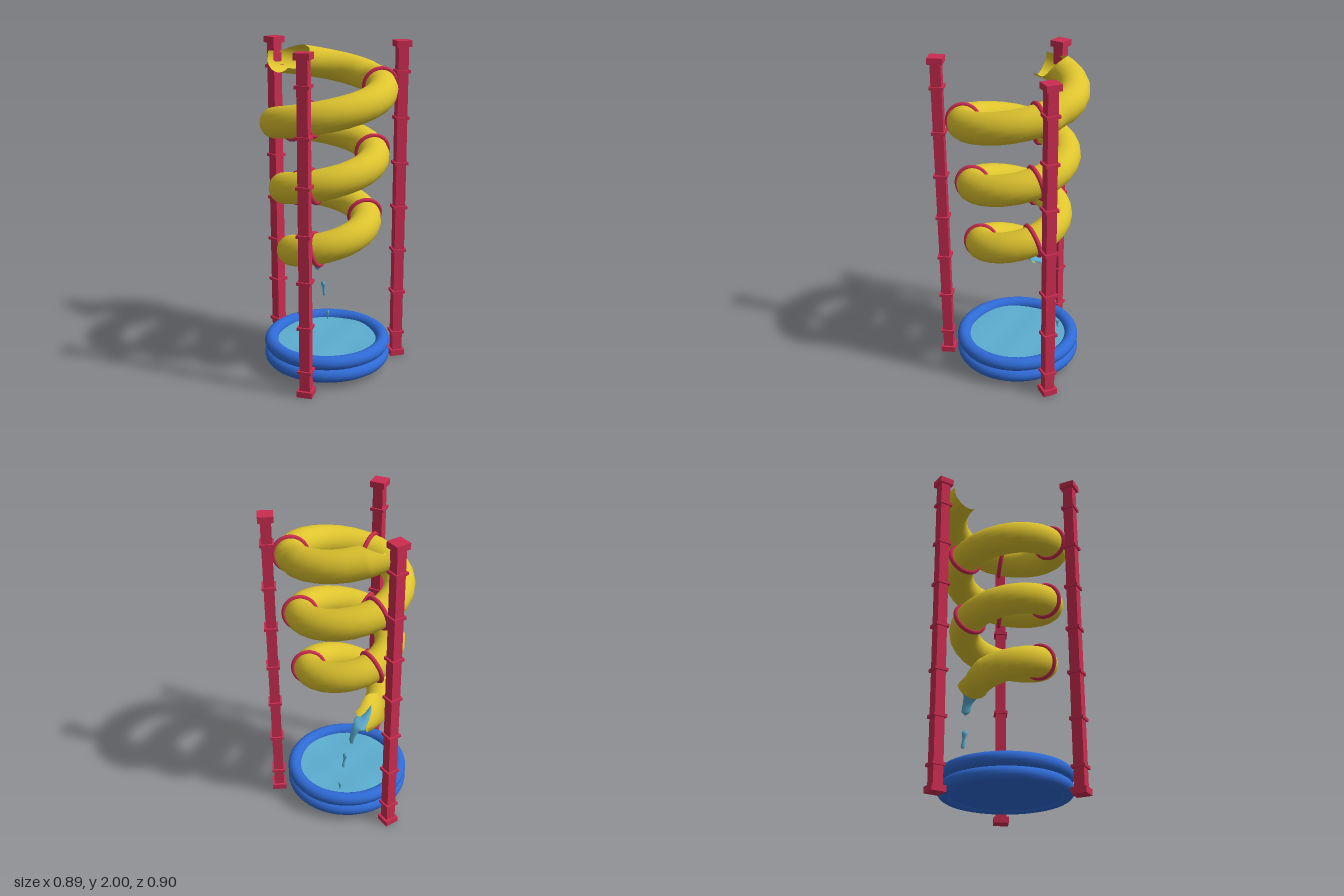
import * as THREE from 'three';
import { mergeVertices } from 'three/addons/utils/BufferGeometryUtils.js';

const mat = (name, color, side = THREE.FrontSide) =>
  Object.assign(new THREE.MeshStandardMaterial({ color, side }), { name });

// Surface through rows x cols points given by fn(row, colFraction)
function gridSurface(rows, cols, fn) {
  const pos = [], idx = [];
  for (let i = 0; i < rows; i++)
    for (let j = 0; j <= cols; j++) pos.push(...fn(i, j / cols).toArray());
  for (let i = 0; i < rows - 1; i++)
    for (let j = 0; j < cols; j++) {
      const a = i * (cols + 1) + j, b = a + cols + 1;
      idx.push(a, b, a + 1, a + 1, b, b + 1);
    }
  let g = new THREE.BufferGeometry();
  g.setAttribute('position', new THREE.Float32BufferAttribute(pos, 3));
  g.setIndex(idx);
  g = mergeVertices(g, 1e-5);
  g.computeVertexNormals();
  return g;
}

export function createModel() {
  const yellow = mat('slide yellow', 0xdec42e, THREE.DoubleSide);
  const red = mat('frame red', 0xcb2c50);
  const blue = mat('pool blue', 0x2f6bd6);
  const aqua = mat('water', 0x5cadd0, THREE.DoubleSide);

  const model = new THREE.Group();
  model.name = 'spiralWaterSlide';
  const add = (parent, name, geo, material, x = 0, y = 0, z = 0) => {
    const m = new THREE.Mesh(geo, material);
    m.name = name;
    m.position.set(x, y, z);
    parent.add(m);
    return m;
  };
  const CX = -0.05, CZ = 0.05, R = 0.092;
  const rad = THREE.MathUtils.degToRad;

  // Narrowing helix, angle in degrees
  const helix = (deg) => {
    const r = 0.325 - 0.043 * deg / 360, a = rad(deg);
    return new THREE.Vector3(CX + r * Math.cos(a), 1.765 - 0.395 * deg / 360, CZ + r * Math.sin(a));
  };
  const tangent = (deg) => helix(deg + 0.5).sub(helix(deg - 0.5)).normalize();
  // Point on the tube wall: phi 0 = outer side, 90 = top
  const wall = (deg, phi, r = R) => {
    const out = new THREE.Vector3(Math.cos(rad(deg)), 0, Math.sin(rad(deg)));
    const t = tangent(deg);
    out.addScaledVector(t, -out.dot(t)).normalize();
    const up = new THREE.Vector3().crossVectors(out, t).normalize();
    if (up.y < 0) up.negate();
    return helix(deg).addScaledVector(out, r * Math.cos(rad(phi))).addScaledVector(up, r * Math.sin(rad(phi)));
  };

  // Slide tube, opening into a trough at both ends
  const START = -116.5, TOP_CUT = -84, LOW_CUT = 942, END = 986;
  const angles = [];
  for (let i = 0; i < 14; i++) angles.push(START + (TOP_CUT - START) * i / 14);
  for (let i = 0; i < 72; i++) angles.push(TOP_CUT + (LOW_CUT - TOP_CUT) * i / 72);
  for (let i = 0; i <= 16; i++) angles.push(LOW_CUT + (END - LOW_CUT) * i / 16);
  const gap = (deg) => {
    const top = Math.min(1, Math.max(0, (TOP_CUT - deg) / 20));
    const low = Math.min(1, Math.max(0, (deg - LOW_CUT) / 26));
    return 100 * Math.sqrt(top) + 95 * Math.sqrt(low);
  };
  add(model, 'slideTube', gridSurface(angles.length, 24, (i, v) => {
    const deg = angles[i], h = gap(deg);
    const mid = deg < 0 ? 120 : 90;
    return wall(deg, mid + h + (360 - 2 * h) * v);
  }), yellow);

  // Clamp rings, one wherever the tube passes a post
  const rings = new THREE.Group();
  rings.name = 'clampRings';
  model.add(rings);
  for (let deg = 15; deg <= 855; deg += 120) {
    const p = helix(deg);
    const ring = add(rings, 'clampRing', new THREE.TorusGeometry(0.096, 0.014, 8, 28), red, p.x, p.y, p.z);
    ring.quaternion.setFromUnitVectors(new THREE.Vector3(0, 0, 1), tangent(deg));
  }

  // Three square posts with caps, feet and collars
  for (const deg of [15, 135, 255]) {
    const post = new THREE.Group();
    post.name = 'post';
    post.position.set(CX + 0.455 * Math.cos(rad(deg)), 0, CZ + 0.455 * Math.sin(rad(deg)));
    post.rotation.y = -rad(deg);
    model.add(post);
    add(post, 'postShaft', new THREE.BoxGeometry(0.062, 1.95, 0.062), red, 0, 1, 0);
    add(post, 'postFoot', new THREE.BoxGeometry(0.09, 0.037, 0.09), red, 0, 0.0185, 0);
    add(post, 'postCap', new THREE.BoxGeometry(0.09, 0.037, 0.09), red, 0, 1.9815, 0);
    for (let i = 0; i < 7; i++)
      add(post, 'postCollar', new THREE.BoxGeometry(0.083, 0.018, 0.083), red, 0, 0.155 + 0.2775 * i, 0);
  }

  // Inflatable pool: two stacked rings and a floor
  const pool = new THREE.Group();
  pool.name = 'pool';
  pool.position.set(CX, 0, CZ);
  model.add(pool);
  for (const y of [0.076, 0.158])
    add(pool, 'poolRing', new THREE.TorusGeometry(0.348, 0.042, 16, 48), blue, 0, y, 0).rotation.x = Math.PI / 2;
  add(pool, 'poolFloor', new THREE.CylinderGeometry(0.335, 0.335, 0.01, 48), blue, 0, 0.055, 0);

  // Rippled water surface
  add(pool, 'poolWater', gridSurface(9, 36, (i, v) => {
    const r = 0.32 * i / 8, a = -v * Math.PI * 2;
    const x = r * Math.cos(a), z = r * Math.sin(a);
    return new THREE.Vector3(x, 0.162 + 0.005 * Math.sin(17 * x + 6 * z) * Math.cos(15 * z - 5 * x), z);
  }), aqua);

  // Falling water: lofted ellipses, stations are [x, y, z, half depth x, half width z]
  const splash = (name, stations) => {
    const curve = new THREE.CatmullRomCurve3(stations.map((s) => new THREE.Vector3(s[0], s[1], s[2])));
    const size = new THREE.CatmullRomCurve3(stations.map((s) => new THREE.Vector3(s[3], s[4], 0)));
    const n = stations.length * 3;
    add(model, name, gridSurface(n + 1, 10, (i, v) => {
      const p = curve.getPoint(i / n), s = size.getPoint(i / n), a = -v * Math.PI * 2;
      p.x += s.x * Math.cos(a);
      p.y += s.x * Math.cos(a) * 0.6;
      p.z += s.y * Math.sin(a);
      return p;
    }), aqua);
  };
  splash('waterStream', [
    [-0.17, 0.71, -0.07, 0, 0], [-0.14, 0.672, -0.1, 0.009, 0.024], [-0.09, 0.645, -0.135, 0.01, 0.045],
    [-0.04, 0.632, -0.155, 0.01, 0.045], [-0.01, 0.59, -0.17, 0.01, 0.028],
    [0.005, 0.545, -0.175, 0.011, 0.026], [0.012, 0.525, -0.178, 0, 0],
  ]);
  splash('waterDrip', [
    [0.038, 0.45, -0.168, 0, 0], [0.043, 0.43, -0.168, 0.011, 0.018], [0.05, 0.39, -0.172, 0.007, 0.008],
    [0.057, 0.35, -0.175, 0.009, 0.012], [0.06, 0.338, -0.176, 0, 0],
  ]);
  splash('waterDrop', [
    [0.083, 0.23, -0.18, 0, 0], [0.084, 0.217, -0.18, 0.009, 0.013], [0.083, 0.19, -0.18, 0.006, 0.008],
    [0.082, 0.16, -0.18, 0, 0],
  ]);

  return model;
}
